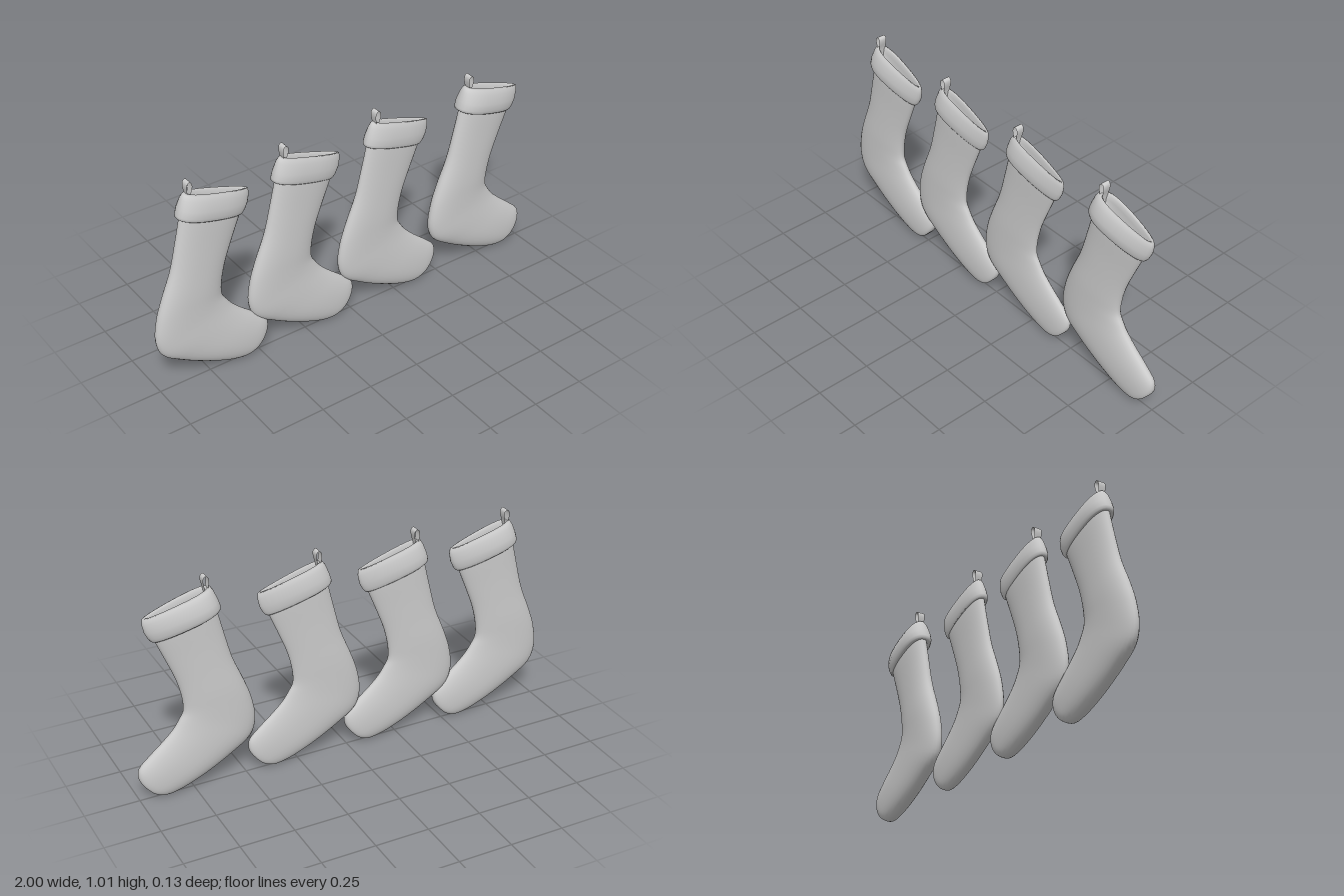
import * as THREE from 'three';

const material = new THREE.MeshStandardMaterial({ color: 0xcccccc, side: THREE.DoubleSide });
const SIDES = 32;

// Skin over flat rings. Each ring: [backX, backY, frontX, frontY, halfThickness];
// skew makes a ring thicker towards its back edge.
function loft(rings, power, skew, scaleZ) {
  const positions = [], index = [];
  const pow = (v) => Math.sign(v) * Math.abs(v) ** power;
  rings.forEach(([lx, ly, rx, ry, h], i) => {
    for (let j = 0; j < SIDES; j++) {
      const t = (j / SIDES) * Math.PI * 2;
      const u = pow(Math.cos(t));
      const k = (u + 1) / 2;
      positions.push(lx + (rx - lx) * k, ly + (ry - ly) * k,
        pow(Math.sin(t)) * h * scaleZ * (1 - skew * u));
      if (i < rings.length - 1) {
        const a = i * SIDES + j, b = i * SIDES + (j + 1) % SIDES;
        index.push(a, b, a + SIDES, b, b + SIDES, a + SIDES);
      }
    }
  });
  const geometry = new THREE.BufferGeometry();
  geometry.setAttribute('position', new THREE.Float32BufferAttribute(positions, 3));
  geometry.setIndex(index);
  geometry.computeVertexNormals();
  return geometry;
}

// Smooth in-between rings along the back and front outlines
function refine(rings, steps) {
  const back = new THREE.CatmullRomCurve3(rings.map((r) => new THREE.Vector3(r[0], r[1], r[4])));
  const front = new THREE.CatmullRomCurve3(rings.map((r) => new THREE.Vector3(r[2], r[3], 0)));
  return Array.from({ length: steps + 1 }, (_, i) => {
    const p = back.getPoint(i / steps), q = front.getPoint(i / steps);
    return [p.x, p.y, q.x, q.y, p.z];
  });
}

// Leg, heel and foot from the cuff down to the toe
const bodyRings = [
  [-0.84, 0.87, -0.56, 0.78, 0.036],
  [-0.847, 0.84, -0.57, 0.754, 0.037],
  [-0.874, 0.727, -0.612, 0.652, 0.037],
  [-0.906, 0.604, -0.65, 0.551, 0.039],
  [-0.955, 0.481, -0.671, 0.455, 0.042],
  [-0.987, 0.385, -0.671, 0.396, 0.042],
  [-1.0, 0.278, -0.65, 0.358, 0.042],
  [-0.976, 0.203, -0.623, 0.32, 0.043],
  [-0.89, 0.139, -0.575, 0.273, 0.043],
  [-0.74, 0.059, -0.505, 0.214, 0.042],
  [-0.623, 0.016, -0.457, 0.166, 0.037],
  [-0.564, 0.011, -0.452, 0.123, 0.031],
  [-0.516, 0.032, -0.468, 0.086, 0.02],
  [-0.492, 0.059, -0.492, 0.059, 0],
];

// Cuff: pocket floor, inner wall, rim, outer band, hem
const cuffRings = [
  [-0.69, 0.82, -0.69, 0.82, 0],
  [-0.8, 0.86, -0.58, 0.79, 0.014],
  [-0.8, 0.93, -0.548, 0.85, 0.017],
  [-0.803, 0.95, -0.537, 0.87, 0.019],
  [-0.81, 0.961, -0.527, 0.879, 0.024],
  [-0.822, 0.958, -0.518, 0.874, 0.031],
  [-0.834, 0.94, -0.516, 0.85, 0.04],
  [-0.85, 0.9, -0.524, 0.812, 0.05],
  [-0.859, 0.87, -0.538, 0.782, 0.049],
  [-0.859, 0.857, -0.55, 0.767, 0.046],
  [-0.853, 0.852, -0.557, 0.763, 0.043],
  [-0.83, 0.853, -0.575, 0.771, 0.03],
];

// Hanging ribbon: a narrow loop, wider at the top
function ribbon() {
  const path = new THREE.CatmullRomCurve3([
    [-0.806, 0.88], [-0.806, 0.95], [-0.811, 0.99], [-0.807, 1.008], [-0.797, 1.015],
    [-0.787, 1.007], [-0.785, 0.99], [-0.793, 0.95], [-0.797, 0.88],
  ].map(([x, y]) => new THREE.Vector3(x, y, 0)));
  const geometry = new THREE.PlaneGeometry(1, 1, 1, 32);
  const pos = geometry.attributes.position;
  for (let i = 0; i < pos.count; i++) {
    const p = path.getPoint(pos.getY(i) + 0.5);
    const halfWidth = 0.009 + 0.01 * THREE.MathUtils.smoothstep(p.y, 0.88, 1.0);
    pos.setXYZ(i, p.x, p.y, pos.getX(i) * 2 * halfWidth);
  }
  geometry.computeVertexNormals();
  return geometry;
}

export function createModel() {
  const group = new THREE.Group();
  // [x offset, body thickness, cuff thickness]
  const row = [[0, 1.05, 1.05], [0.46, 1, 0.9], [0.935, 0.9, 0.85], [1.45, 1.1, 1.2]];
  row.forEach(([x, bodyScale, cuffScale], i) => {
    const stocking = new THREE.Group();
    stocking.name = `stocking${i + 1}`;
    const add = (name, geometry) => {
      const mesh = new THREE.Mesh(geometry, material);
      mesh.name = name;
      stocking.add(mesh);
    };
    add('sock', loft(refine(bodyRings, 52), 0.9, 0.1, bodyScale));
    add('cuff', loft(cuffRings, 0.85, 0.3, cuffScale));
    add('hangingLoop', ribbon());
    stocking.position.set(x, -0.008, 0);
    group.add(stocking);
  });
  return group;
}
